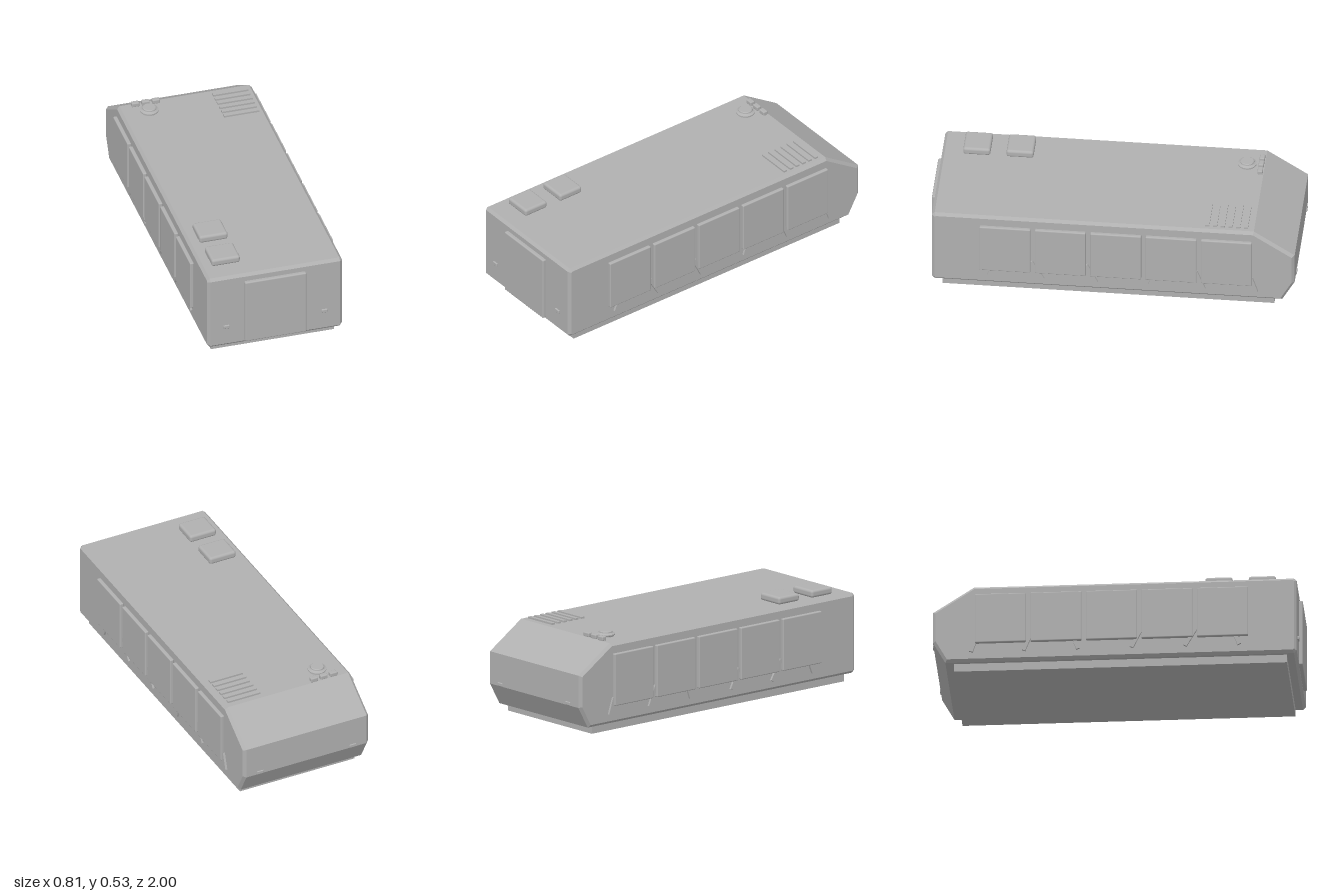
import * as THREE from 'three';
import { RoundedBoxGeometry } from 'three/addons/geometries/RoundedBoxGeometry.js';

const grey = new THREE.MeshStandardMaterial({ color: 0xb0b0b0 });
grey.name = 'hull grey';

export function createModel() {
  const model = new THREE.Group();
  model.name = 'armouredHull';

  const add = (name, geometry, x = 0, y = 0, z = 0) => {
    const mesh = new THREE.Mesh(geometry, grey);
    mesh.name = name;
    mesh.position.set(x, y, z);
    model.add(mesh);
    return mesh;
  };
  const box = (name, w, h, d, x, y, z) => add(name, new THREE.BoxGeometry(w, h, d), x, y, z);
  const rounded = (name, w, h, d, x, y, z, r) => add(name, new RoundedBoxGeometry(w, h, d, 3, r), x, y, z);

  // Hull: side profile as [z, y], extruded across with chamfered edges
  const profile = [
    [0.98, 0.06], [0.98, 0.475], [0.965, 0.49], [-0.77, 0.49],
    [-0.992, 0.345], [-0.992, 0.165], [-0.925, 0.045], [0.965, 0.045],
  ].map(([z, y]) => new THREE.Vector2(-z, y));
  const bevel = 0.015;
  const hull = new THREE.ExtrudeGeometry(new THREE.Shape(profile), {
    depth: 0.73, bevelEnabled: true, bevelSegments: 1,
    bevelSize: bevel, bevelThickness: bevel, bevelOffset: -bevel,
  });
  hull.translate(0, 0, -0.365);
  hull.rotateY(Math.PI / 2);
  add('hull', hull);

  // Plinth under the hull
  box('belly', 0.695, 0.06, 1.805, 0, 0.03, 0.0225);

  // Front door
  rounded('frontDoor', 0.346, 0.382, 0.03, -0.002, 0.256, 0.985, 0.007);

  // Side armour panels with slanted brackets, on both sides
  const brackets = [ // top z, top y, bottom z
    [0.64, 0.17, 0.67], [0.44, 0.21, 0.375], [0.14, 0.21, 0.085],
    [-0.23, 0.17, -0.205], [-0.455, 0.21, -0.5], [-0.755, 0.19, -0.785],
  ];
  for (const side of [1, -1]) {
    const sideName = side > 0 ? 'left' : 'right';
    for (let i = 0; i < 5; i++) {
      rounded(sideName + 'SidePanel' + (i + 1), 0.023, 0.29, 0.277,
        side * 0.3925, 0.29, 0.58 - i * 0.301, 0.006);
    }
    brackets.forEach(([zTop, yTop, zBottom], i) => {
      const yBottom = 0.098;
      const length = Math.hypot(zTop - zBottom, yTop - yBottom);
      const bracket = box(sideName + 'Bracket' + (i + 1), 0.014, length, 0.02,
        side * 0.385, (yTop + yBottom) / 2, (zTop + zBottom) / 2);
      bracket.rotation.x = Math.atan2(zTop - zBottom, yTop - yBottom);
    });
    // Lamps front and rear
    rounded(sideName + 'FrontLamp', 0.035, 0.02, 0.016, side * 0.277, 0.17, 0.98, 0.004);
    rounded(sideName + 'RearLamp', 0.04, 0.02, 0.012, side * 0.28, 0.175, -0.991, 0.004);
  }

  // Roof hatches
  for (const z of [0.555, 0.79]) {
    rounded('roofHatch', 0.16, 0.042, 0.148, -0.243, 0.512, z, 0.014);
  }

  // Driver hatch: flared ring with a lid
  const hatchProfile = [
    [0.044, 0.485], [0.044, 0.494], [0.051, 0.499], [0.051, 0.505],
    [0.043, 0.508], [0.038, 0.512], [0.037, 0.518], [0.033, 0.521], [0, 0.521],
  ].map(([r, y]) => new THREE.Vector2(r, y));
  const hatch = new THREE.LatheGeometry(hatchProfile, 32).toNonIndexed();
  hatch.computeVertexNormals();
  add('driverHatch', hatch, -0.225, 0, -0.675);

  // Periscopes in front of the driver hatch
  for (let i = 0; i < 3; i++) {
    rounded('periscope' + (i + 1), 0.043, 0.026, 0.028, -0.282 + i * 0.058, 0.5, -0.752, 0.006);
  }

  // Engine grille slats
  for (let i = 0; i < 6; i++) {
    box('grilleSlat' + (i + 1), 0.198, 0.02, 0.022, 0.247, 0.49, -0.515 - i * 0.042);
  }

  return model;
}
